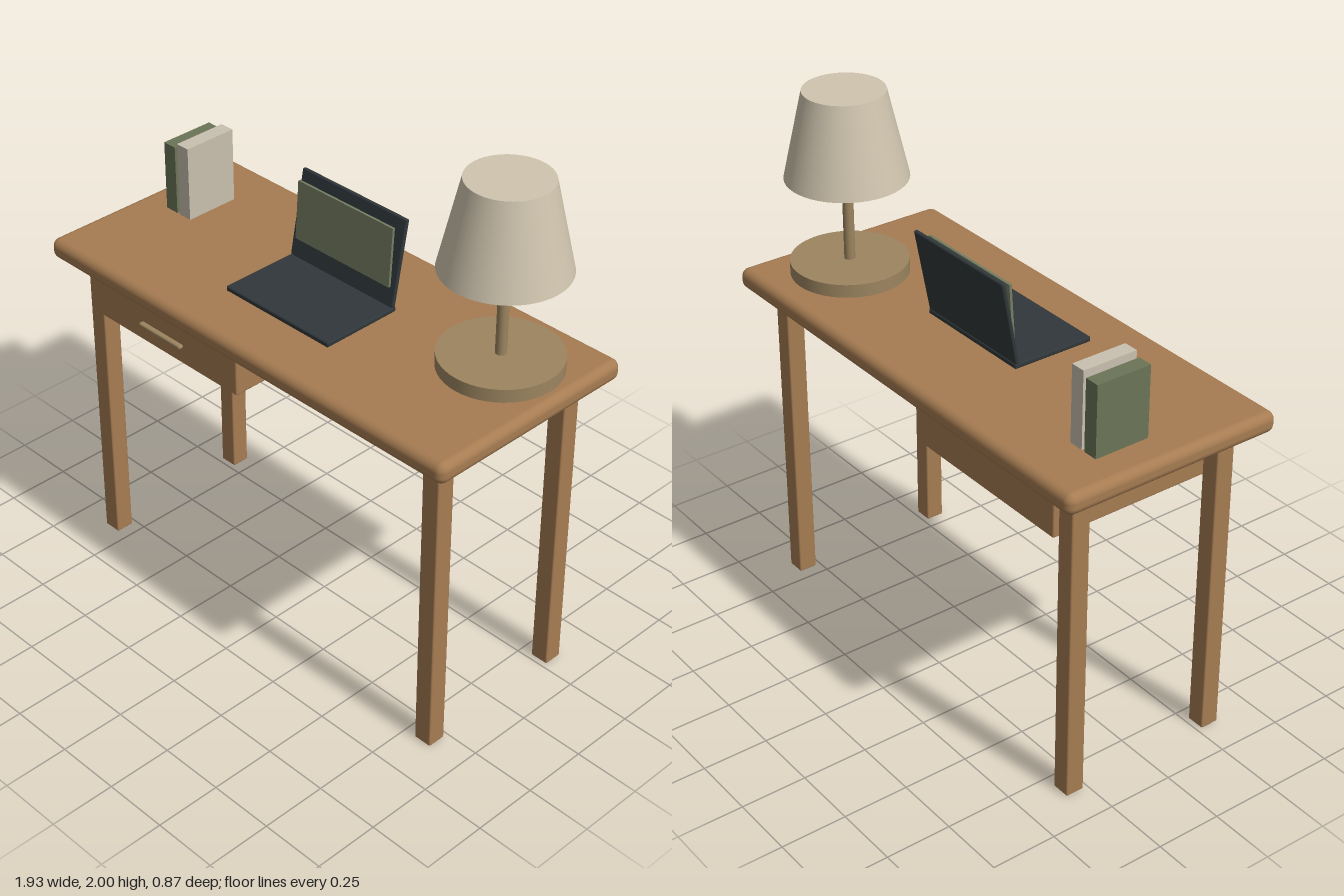
import * as THREE from 'three';
import { RoundedBoxGeometry } from 'three/addons/geometries/RoundedBoxGeometry.js';

const material = (color) => new THREE.MeshStandardMaterial({ color });

export function createModel() {
  const model = new THREE.Group();
  model.name = 'deskWithLamp';
  const wood = material(0xa67c52);
  const dark = material(0x30373a);
  const screenGreen = material(0x757d62);
  const bookGreen = material(0x6b7556);
  const cream = material(0xc9c0af);
  const brass = material(0x9c8560);
  const shadeCloth = material(0xcfc4ae);

  function add(name, geometry, mat, x, y, z, parent = model) {
    const mesh = new THREE.Mesh(geometry, mat);
    mesh.name = name;
    mesh.position.set(x, y, z);
    parent.add(mesh);
    return mesh;
  }
  const rounded = (w, h, d, r, segments = 2) => new RoundedBoxGeometry(w, h, d, segments, r);

  // Table top and legs
  add('tableTop', rounded(1.93, 0.08, 0.87, 0.032, 4), wood, 0, 1.255, 0);
  for (const x of [-0.833, 0.833]) {
    for (const z of [-0.305, 0.305]) {
      add('leg', rounded(0.072, 1.215, 0.072, 0.006), wood, x, 0.6075, z);
    }
  }

  // Drawer hung under the right half, with its pull
  add('drawer', rounded(0.75, 0.165, 0.735, 0.006), wood, -0.425, 1.113, 0.004);
  add('drawerHandle', rounded(0.217, 0.016, 0.022, 0.007), brass, -0.422, 1.112, 0.388);

  // Books
  add('greenBook', new THREE.BoxGeometry(0.057, 0.27, 0.216), bookGreen, -0.807, 1.43, -0.118);
  add('creamBook', new THREE.BoxGeometry(0.057, 0.29, 0.216), cream, -0.737, 1.44, -0.118);

  // Laptop, with the lid leaning back from its hinge
  const laptop = new THREE.Group();
  laptop.name = 'laptop';
  model.add(laptop);
  add('laptopBase', rounded(0.5, 0.02, 0.325, 0.006), dark, 0, 1.315, 0.067, laptop);
  const lid = add('laptopLid', rounded(0.5, 0.33, 0.016, 0.006), dark, 0, 1.483, -0.115, laptop);
  lid.rotation.x = -0.19;
  const screen = add('laptopScreen', new THREE.BoxGeometry(0.455, 0.225, 0.01),
    screenGreen, 0, 1.508, -0.093, laptop);
  screen.rotation.x = -0.07;

  // Table lamp
  const lamp = new THREE.Group();
  lamp.name = 'lamp';
  lamp.position.set(0.705, 0, -0.12);
  model.add(lamp);
  add('lampBase', new THREE.CylinderGeometry(0.217, 0.217, 0.05, 48), brass, 0, 1.32, 0, lamp);
  add('lampPost', new THREE.CylinderGeometry(0.02, 0.02, 0.33, 24), brass, 0, 1.505, 0, lamp);
  add('lampDiffuser', new THREE.CylinderGeometry(0.176, 0.176, 0.03, 48), cream, 0, 1.667, 0, lamp);
  add('lampShade', new THREE.CylinderGeometry(0.15, 0.225, 0.33, 48), shadeCloth, 0, 1.835, 0, lamp);

  return model;
}
